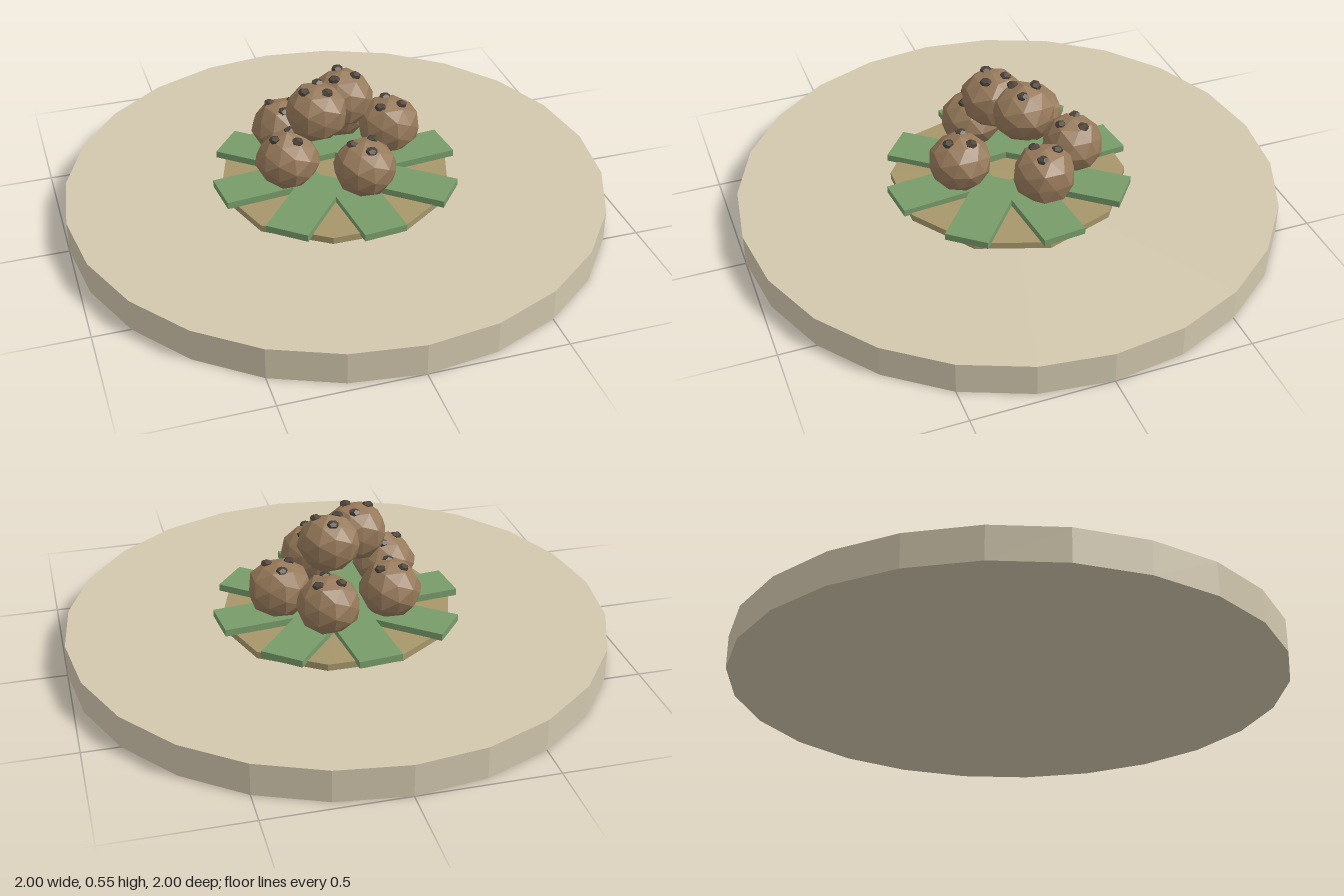
import * as THREE from 'three';

const flat = (name, color) => {
  const m = new THREE.MeshStandardMaterial({ color, flatShading: true });
  m.name = name;
  return m;
};

// Move vertices by a rule; shared corners get the same result
function deform(geo, rule) {
  const p = geo.attributes.position;
  const v = new THREE.Vector3();
  for (let i = 0; i < p.count; i++) {
    rule(v.fromBufferAttribute(p, i));
    p.setXYZ(i, v.x, v.y, v.z);
  }
  geo.computeVertexNormals();
  return geo;
}

export function createModel() {
  const model = new THREE.Group();
  const stone = flat('stone', 0xd2c8ae);
  const husk = flat('dry leaf', 0xa6966a);
  const green = flat('green leaf', 0x789c6a);
  const crust = flat('brown crust', 0x96795a);
  const seed = flat('dark seed', 0x4c4238);

  const add = (parent, name, geo, mat, x = 0, y = 0, z = 0) => {
    const mesh = new THREE.Mesh(geo, mat);
    mesh.name = name;
    mesh.position.set(x, y, z);
    parent.add(mesh);
    return mesh;
  };

  // Round serving board
  add(model, 'board', new THREE.CylinderGeometry(1, 1, 0.12, 24), stone, 0, 0.06, 0);

  // Thin ten-sided mat, slightly bent like a saddle
  const mat = new THREE.CylinderGeometry(0.435, 0.435, 0.025, 10, 1, false, Math.PI / 2);
  deform(mat, (v) => { v.y += 0.04 * (v.z * v.z - v.x * v.x); });
  add(model, 'leafMat', mat, husk, 0, 0.14, 0);

  // Ring of eight leaf strips
  const strip = new THREE.BoxGeometry(0.37, 0.026, 0.16);
  strip.translate(0.265, 0, 0);
  for (let i = 0; i < 8; i++) {
    const leaf = add(model, 'leafStrip', strip, green, 0, 0.165, 0);
    leaf.rotation.y = THREE.MathUtils.degToRad(6 - 45 * i);
  }

  // Lumpy balls: centre, then the turn of the three seeds in degrees
  const balls = [
    [0.05, 0.285, 0.2, 80],
    [-0.2, 0.285, 0.07, 55],
    [-0.16, 0.285, -0.155, 95],
    [0.085, 0.285, -0.22, 90],
    [0.225, 0.285, -0.055, 30],
    [-0.08, 0.44, 0.03, 50],
    [0.04, 0.44, -0.045, 25],
  ];
  const seedGeo = new THREE.DodecahedronGeometry(0.022, 0);
  balls.forEach(([x, y, z, turn], n) => {
    const ball = new THREE.Group();
    ball.name = 'ball';
    ball.position.set(x, y, z);
    model.add(ball);

    const lump = deform(new THREE.IcosahedronGeometry(0.115, 1), (v) => {
      const wave = Math.sin(v.x * 61 + n * 2.1) + Math.sin(v.y * 53 + n) + Math.sin(v.z * 71 + n * 1.3);
      v.multiplyScalar(1 + 0.02 * wave);
      v.y *= 0.92;
    });
    add(ball, 'crust', lump, crust);

    for (let k = 0; k < 3; k++) {
      const a = THREE.MathUtils.degToRad(turn + 120 * k);
      const s = add(ball, 'seed', seedGeo, seed, 0.047 * Math.cos(a), 0.091, 0.047 * Math.sin(a));
      s.scale.y = 0.65;
      s.rotation.y = a;
    }
  });

  return model;
}
